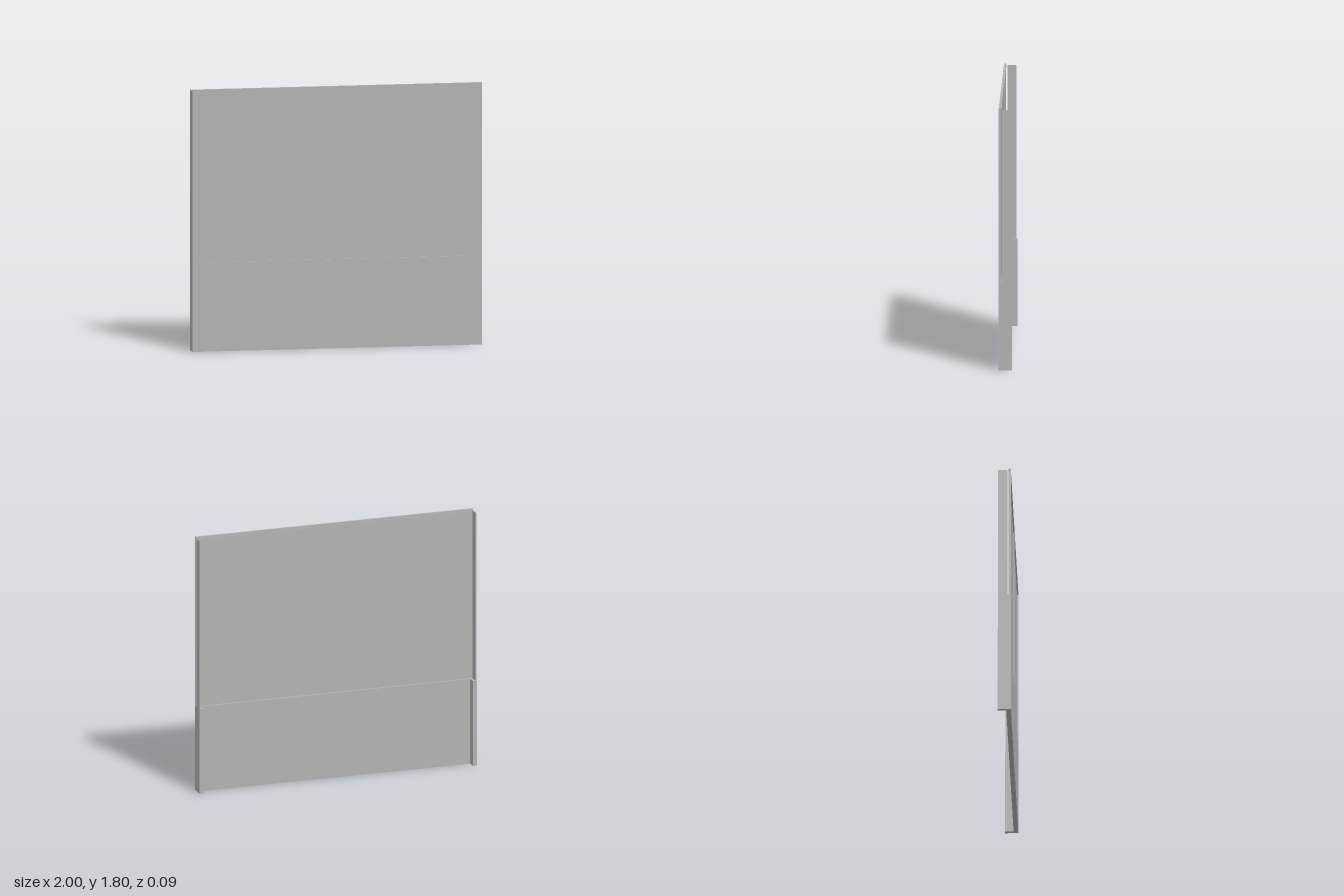
import * as THREE from 'three';

export function createModel() {
  const group = new THREE.Group();
  const grey = new THREE.MeshStandardMaterial({ color: 0xb2b2b2 });
  grey.name = 'panelGrey';

  const add = (name, geometry) => {
    const mesh = new THREE.Mesh(geometry, grey);
    mesh.name = name;
    group.add(mesh);
  };
  // Box given by its lower and upper limits on each axis
  const box = (name, x0, x1, y0, y1, z0, z1) => {
    const g = new THREE.BoxGeometry(x1 - x0, y1 - y0, z1 - z0);
    g.translate((x0 + x1) / 2, (y0 + y1) / 2, (z0 + z1) / 2);
    add(name, g);
  };
  // Rounded rectangular opening
  const opening = (x0, x1, y0, y1, r) => {
    const p = new THREE.Path();
    p.moveTo(x0 + r, y0);
    p.lineTo(x1 - r, y0);
    p.absarc(x1 - r, y0 + r, r, -Math.PI / 2, 0);
    p.absarc(x1 - r, y1 - r, r, 0, Math.PI / 2);
    p.absarc(x0 + r, y1 - r, r, Math.PI / 2, Math.PI);
    p.absarc(x0 + r, y0 + r, r, Math.PI, Math.PI * 1.5);
    return p;
  };

  // Solid lower board
  box('lowerPanel', -1, 1, 0, 0.6, 0.013, 0.045);

  // Window frame with two openings
  const outline = new THREE.Shape();
  outline.moveTo(-1, 0.6);
  outline.lineTo(1, 0.6);
  outline.lineTo(1, 1.8);
  outline.lineTo(-1, 1.8);
  outline.holes.push(opening(-0.98, -0.008, 0.612, 1.784, 0.008), opening(0.004, 0.98, 0.612, 1.784, 0.008));
  const frame = new THREE.ExtrudeGeometry(outline, { depth: 0.01, bevelEnabled: false, curveSegments: 4 });
  frame.translate(0, 0, 0.035);
  add('windowFrame', frame);

  // Lip closing the top of the frame at the back
  box('topLip', -1, 1, 1.79, 1.8, 0.028, 0.035);

  // Recessed panes, parted by a narrow joint
  box('rightPane', -0.995, -0.004, 0.6, 1.785, 0.03, 0.036);
  box('leftPane', 0.001, 0.995, 0.6, 1.785, 0.03, 0.036);

  // Side returns: thick below, thin fins above with a slot behind the frame
  for (const [side, s] of [['left', 1], ['right', -1]]) {
    const mirrored = (name, a, b, ...rest) => box(name, Math.min(a * s, b * s), Math.max(a * s, b * s), ...rest);
    mirrored(side + 'LowerReturn', 0.972, 1, 0, 0.6, -0.045, 0.013);
    mirrored(side + 'UpperFin', 0.994, 1, 0.6, 1.79, -0.041, 0.023);
  }
  return group;
}
